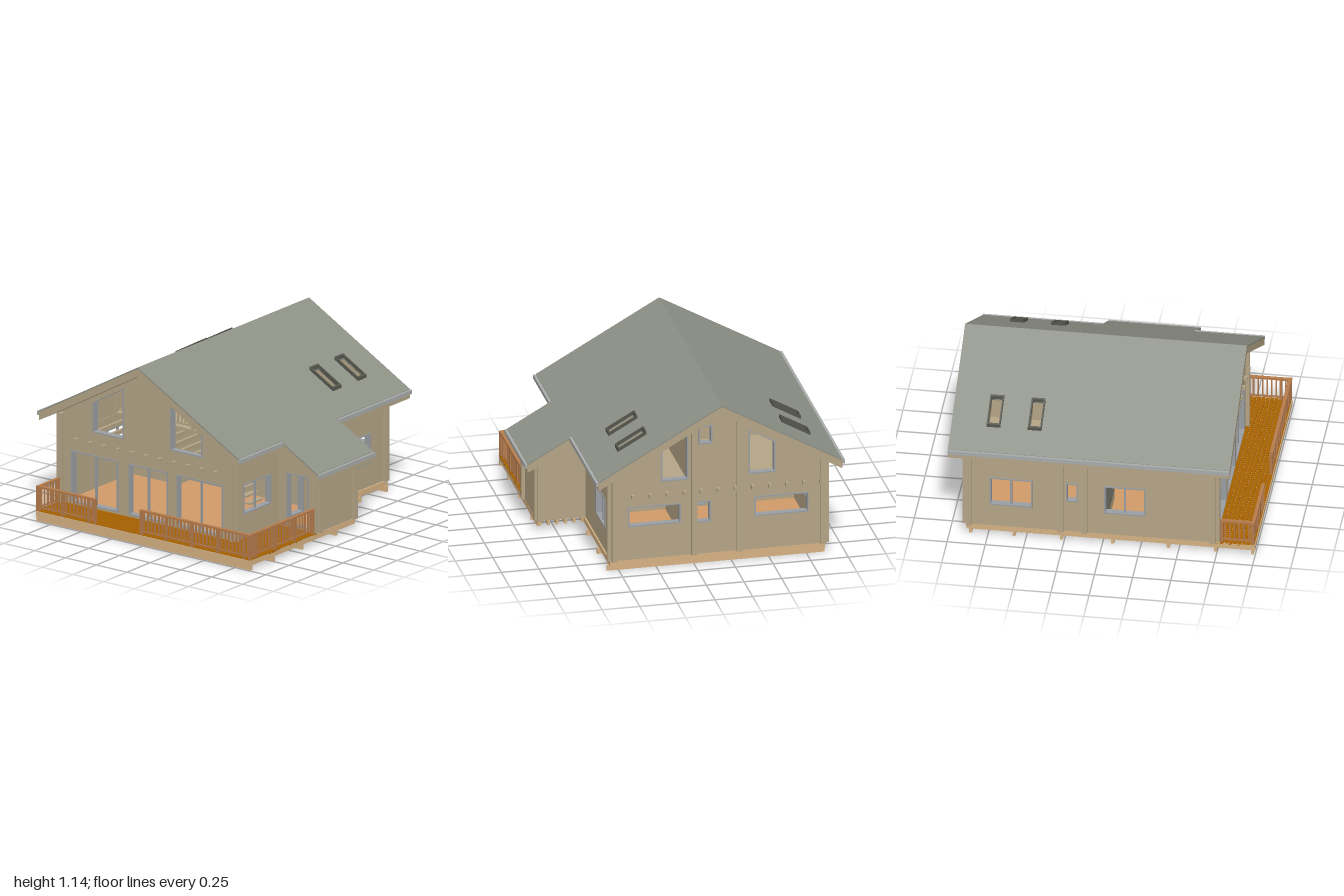
import * as THREE from 'three';

const mat = (name, color, side = THREE.FrontSide) => {
  const m = new THREE.MeshStandardMaterial({ color, side });
  m.name = name;
  return m;
};

export function createModel() {
  const M = {
    wall: mat('timber wall', 0xb5a586),
    roof: mat('grey roofing', 0x8e9186),
    gutter: mat('pale grey metal', 0xa9acac),
    frame: mat('window frame grey', 0x9a9ea2),
    dark: mat('dark skylight trim', 0x55564e),
    lumber: mat('pale lumber', 0xd6b283),
    deck: mat('brown decking', 0xa86200),
    rail: mat('railing wood', 0xb57b4c),
    floor: mat('orange floor', 0xd09a68),
  };
  const house = new THREE.Group();
  house.name = 'house';

  const group = (name) => {
    const g = new THREE.Group();
    g.name = name;
    house.add(g);
    return g;
  };
  const add = (parent, name, geo, m) => {
    const mesh = new THREE.Mesh(geo, m);
    mesh.name = name;
    parent.add(mesh);
    return mesh;
  };
  // Box given by its limits on each axis
  const box = (parent, name, m, x0, x1, y0, y1, z0, z1) => {
    const mesh = add(parent, name, new THREE.BoxGeometry(x1 - x0, y1 - y0, z1 - z0), m);
    mesh.position.set((x0 + x1) / 2, (y0 + y1) / 2, (z0 + z1) / 2);
    return mesh;
  };
  const rect = (a, b, y0, y1) => [[a, y0], [b, y0], [b, y1], [a, y1]];
  const shapeOf = (pts, holes = []) => {
    const s = new THREE.Shape(pts.map((p) => new THREE.Vector2(...p)));
    holes.forEach((h) => s.holes.push(new THREE.Path(h.map((p) => new THREE.Vector2(...p)))));
    return s;
  };
  // Shrink an outline by t on each side of its bounding box
  const inset = (pts, t) => {
    const b = new THREE.Box2().setFromPoints(pts.map((p) => new THREE.Vector2(...p)));
    const c = b.getCenter(new THREE.Vector2()), s = b.getSize(new THREE.Vector2());
    return pts.map(([x, y]) => [c.x + (x - c.x) * (1 - 2 * t / s.x), c.y + (y - c.y) * (1 - 2 * t / s.y)]);
  };

  // Roof lines
  const RIDGE = -0.16, TOP = 1.145, SLOPE = 0.565, THICK = 0.065;
  const roofY = (x) => TOP - SLOPE * Math.abs(x - RIDGE);
  const underY = (x) => roofY(x) - THICK;

  // Wall with framed openings; axis 'z' faces front/back, axis 'x' faces the sides
  const T = 0.035;
  const wall = (name, axis, outer, pts, openings = []) => {
    const g = group(name);
    const place = (part, shape, depth, shift, m) => {
      const geo = new THREE.ExtrudeGeometry(shape, { depth, bevelEnabled: false });
      if (axis === 'x') geo.rotateY(-Math.PI / 2).translate(outer + shift, 0, 0);
      else geo.translate(0, 0, outer - depth + shift);
      add(g, part, geo, m);
    };
    place('wallPanel', shapeOf(pts, openings.map((o) => o.pts)), T, 0, M.wall);
    for (const o of openings) {
      place('windowFrame', shapeOf(o.pts, [inset(o.pts, 0.009)]), T + 0.01, 0.005, M.frame);
      if (o.bar !== undefined) {
        const ys = o.pts.map((p) => p[1]);
        place('mullion', shapeOf(rect(o.bar - 0.006, o.bar + 0.006, Math.min(...ys), Math.max(...ys))), 0.015, -0.01, M.frame);
      }
    }
  };

  const X0 = -0.87, X1 = 0.55, Z0 = -0.89, Z1 = 0.74, B = 0.07, PX = 0.87;
  const gable = [[X0, B], [X1, B], [X1, underY(X1)], [RIDGE, underY(RIDGE)], [X0, underY(X0)]];
  // Window whose head follows the roof slope
  const raked = (a, b, y0, drop) => ({
    pts: [[a, y0], [b, y0], [b, underY(b) - drop], [a, underY(a) - drop]],
  });
  wall('frontWall', 'z', Z1, gable, [
    { pts: rect(-0.775, -0.395, 0.085, 0.435), bar: -0.585 },
    { pts: rect(-0.31, 0.01, 0.085, 0.435), bar: -0.16 },
    { pts: rect(0.08, 0.455, 0.085, 0.435), bar: 0.27 },
    raked(-0.6, -0.35, 0.59, 0.035), raked(0.03, 0.29, 0.59, 0.035),
  ]);
  wall('backWall', 'z', Z0 + T, gable, [
    { pts: rect(0.09, 0.44, 0.3, 0.44) }, { pts: rect(-0.11, -0.01, 0.29, 0.44) },
    { pts: rect(-0.76, -0.4, 0.3, 0.44) }, { pts: rect(-0.12, -0.03, 0.84, 0.97) },
    raked(0.04, 0.22, 0.6, 0.05), raked(-0.54, -0.36, 0.6, 0.05),
  ]);
  wall('leftSideWall', 'x', X0 + T, rect(Z0, Z1, B, underY(X0)), [
    { pts: rect(-0.74, -0.46, 0.23, 0.44), bar: -0.6 },
    { pts: rect(-0.24, -0.16, 0.3, 0.44) },
    { pts: rect(0.01, 0.28, 0.23, 0.44), bar: 0.145 },
  ]);
  wall('rightSideWall', 'x', X1, rect(Z0, Z1, B, underY(X1)), [
    { pts: rect(-0.72, -0.45, 0.23, 0.435), bar: -0.59 },
    { pts: rect(0.35, 0.65, 0.23, 0.435), bar: 0.5 },
    { pts: rect(0.0, 0.16, 0.085, 0.435) },
  ]);

  // Entrance wing under the lowered eave
  const wing = [[X1, B], [PX, B], [PX, underY(PX)], [X1, underY(X1)]];
  wall('wingFrontWall', 'z', 0.27, wing, [{ pts: rect(0.62, 0.795, 0.08, 0.435) }]);
  wall('wingBackWall', 'z', -0.1, wing);
  wall('wingSideWall', 'x', PX, rect(-0.135, 0.27, B, underY(PX)));

  // Inner partitions
  wall('crossPartition', 'z', -0.1, gable, [{ pts: rect(-0.25, -0.08, 0.085, 0.42) }]);
  for (const x of [-0.28, 0.02]) wall('backPartition', 'x', x, rect(Z0, -0.12, B, underY(-0.3) - 0.02));

  // Crossed wall ends at the corners and partitions
  const ends = group('wallEnds');
  const S = 0.026;
  for (const x of [X0, X1 - T]) {
    const h = underY(x < 0 ? x : x + T);
    box(ends, 'cornerEnd', M.wall, x, x + T, B, h, Z1, Z1 + S);
    box(ends, 'cornerEnd', M.wall, x, x + T, B, h, Z0 - S, Z0);
  }
  for (const z of [Z0, Z1 - T, -0.135, -0.29]) {
    box(ends, 'sideEnd', M.wall, X0 - S, X0, B, underY(X0 - S), z, z + T);
    if (z === Z0 || z > 0) box(ends, 'sideEnd', M.wall, X1, X1 + S, B, underY(X1 + S), z, z + T);
  }
  for (const x of [-0.315, -0.015]) box(ends, 'partitionEnd', M.wall, x, x + T, B, underY(-0.315), Z0 - S, Z0);
  for (const z of [0.235, -0.135]) box(ends, 'wingEnd', M.wall, PX, PX + 0.022, B, underY(PX + 0.022), z, z + T);
  box(ends, 'wingEnd', M.wall, PX - T, PX, B, underY(PX), 0.27, 0.29);
  box(ends, 'wingEnd', M.wall, PX - T, PX, B, underY(PX), -0.155, -0.135);

  // Floor beams, running through both gables
  const beams = group('floorBeams');
  for (let i = 0; i < 13; i++) {
    const x = -0.84 + i * 0.1135;
    box(beams, 'floorBeam', M.wall, x - 0.01, x + 0.01, 0.5, 0.527, Z0 - 0.03, Z1 + 0.03);
  }
  box(beams, 'loftFloor', M.wall, X0 + T, X1 - T, 0.527, 0.545, Z0 + T, 0.2);

  // Slab lying on the roof plane: outline in plan (x, z), sheared to the slope
  const roof = group('roof');
  const slab = (name, outline, holes, lift, thick, m) => {
    const geo = new THREE.ExtrudeGeometry(shapeOf(outline, holes), { depth: thick, bevelEnabled: false });
    geo.rotateX(Math.PI / 2);
    const p = geo.attributes.position;
    for (let i = 0; i < p.count; i++) p.setY(i, p.getY(i) + roofY(p.getX(i)) + lift);
    geo.computeVertexNormals();
    add(roof, name, geo, m);
  };
  const RB = -1, RF = 0.845;
  const slopes = [
    { outline: rect(-0.96, RIDGE, RB, RF), sky: [-0.8, -0.61] },
    {
      outline: [[RIDGE, RB], [0.66, RB], [0.66, -0.22], [0.955, -0.22], [0.955, 0.385], [0.66, 0.385], [0.66, RF], [RIDGE, RF]],
      sky: [0.29, 0.48],
    },
  ];
  for (const { outline, sky } of slopes) {
    const lights = [[-0.77, -0.68], [-0.5, -0.41]].map(([a, b]) => rect(sky[0], sky[1], a, b));
    const holes = lights.map((l) => inset(l, 0.01));
    slab('roofCovering', outline, holes, 0, 0.01, M.roof);
    slab('roofBoards', outline, holes, -0.01, THICK - 0.012, M.wall);
    lights.forEach((l, i) => slab('skylightFrame', l, [holes[i]], 0.022, 0.03, M.dark));
  }
  // Gutters along the eaves
  const gutter = (x, dir, z0, z1) => {
    const y = roofY(x), o = x + dir * 0.018;
    box(roof, 'gutter', M.gutter, Math.min(x, o), Math.max(x, o), y - 0.03, y - 0.003, z0, z1);
  };
  gutter(-0.96, -1, RB, RF);
  gutter(0.66, 1, RB, -0.22);
  gutter(0.66, 1, 0.385, RF);
  gutter(0.955, 1, -0.22, 0.385);

  // Base: bearers across, joists along, rim and ground floor
  const base = group('base');
  for (const z of [-0.865, -0.58, -0.27, 0.065, 0.43, 0.74, 0.98]) {
    box(base, 'bearer', M.lumber, X0, z < -0.2 ? X1 + S : PX, 0, 0.035, z - 0.01, z + 0.01);
  }
  for (let x = X0 + 0.01; x < PX; x += 0.057) {
    box(base, 'joist', M.lumber, x - 0.008, x + 0.008, 0.03, 0.062, x > X1 ? -0.12 : Z0, 0.99);
  }
  box(base, 'frontRim', M.lumber, X0, PX, 0.03, 0.068, 0.985, 0.998);
  box(base, 'backRim', M.lumber, X0, X1 + 0.01, 0.032, B, Z0, Z0 + 0.015);
  box(base, 'leftRim', M.lumber, X0, X0 + 0.015, 0.032, B, Z0, 0.99);
  box(base, 'rightRim', M.lumber, X1 - 0.005, X1 + 0.01, 0.032, B, Z0, -0.12);
  box(base, 'wingRim', M.lumber, PX - 0.013, PX, 0.032, 0.068, -0.13, 0.99);
  box(base, 'subfloor', M.wall, X0 + 0.015, X1, 0.06, 0.07, Z0 + 0.015, Z1);
  box(base, 'floorFinish', M.floor, X0 + 0.02, X1 - 0.01, 0.07, 0.076, Z0 + 0.02, Z1 - 0.01);
  box(base, 'wingFloor', M.floor, X1, PX - 0.015, 0.064, 0.074, -0.12, 0.26);

  // Deck boards, wrapping the front right corner
  const deck = group('deck');
  for (let z = 0.285; z < 0.985; z += 0.0285) {
    box(deck, 'deckBoard', M.deck, z < Z1 - 0.01 ? X1 + 0.005 : X0, PX, 0.06, 0.072, z, z + 0.0245);
  }

  // Railing run between two plan points
  const railing = (parent, name, x0, z0, x1, z1, y0, y1, m) => {
    const g = new THREE.Group();
    g.name = name;
    parent.add(g);
    const L = Math.hypot(x1 - x0, z1 - z0), n = Math.round(L / 0.03);
    box(g, 'topRail', m, 0, L, y1 - 0.012, y1, -0.012, 0.012);
    box(g, 'bottomRail', m, 0, L, y0 + 0.018, y0 + 0.028, -0.005, 0.005);
    for (let i = 0; i <= n; i++) {
      const post = i === 0 || i === n || i % 7 === 0, r = post ? 0.009 : 0.0045;
      const x = THREE.MathUtils.clamp(i * L / n, r, L - r);
      box(g, post ? 'post' : 'baluster', m, x - r, x + r, post ? y0 : y0 + 0.018, y1 - 0.012, -r, r);
    }
    g.position.set(x0, 0, z0);
    g.rotation.y = -Math.atan2(z1 - z0, x1 - x0);
  };
  const RZ = 0.985, RX = 0.855;
  railing(house, 'frontLeftRailing', X0, RZ, -0.39, RZ, B, 0.24, M.rail);
  railing(house, 'frontRightRailing', -0.03, RZ, PX, RZ, B, 0.24, M.rail);
  railing(house, 'rightRailing', RX, 0.295, RX, RZ, B, 0.24, M.rail);
  railing(house, 'leftRailing', -RX, Z1 + 0.03, -RX, RZ, B, 0.24, M.rail);

  // Interior: staircase, loft railing and counter
  const inside = group('interior');
  for (let i = 0; i < 10; i++) {
    const x = 0.44 - i * 0.036;
    box(inside, 'stairTread', M.wall, x - 0.022, x + 0.022, 0.105 + i * 0.042, 0.117 + i * 0.042, 0.22, 0.36);
  }
  railing(inside, 'loftRailing', X0 + T, 0.19, X1 - T, 0.19, 0.545, 0.71, M.wall);
  box(inside, 'counter', M.wall, -0.83, -0.45, 0.076, 0.2, -0.09, 0.02);
  box(inside, 'counterTop', M.dark, -0.83, -0.44, 0.2, 0.21, -0.09, 0.03);

  return house;
}
